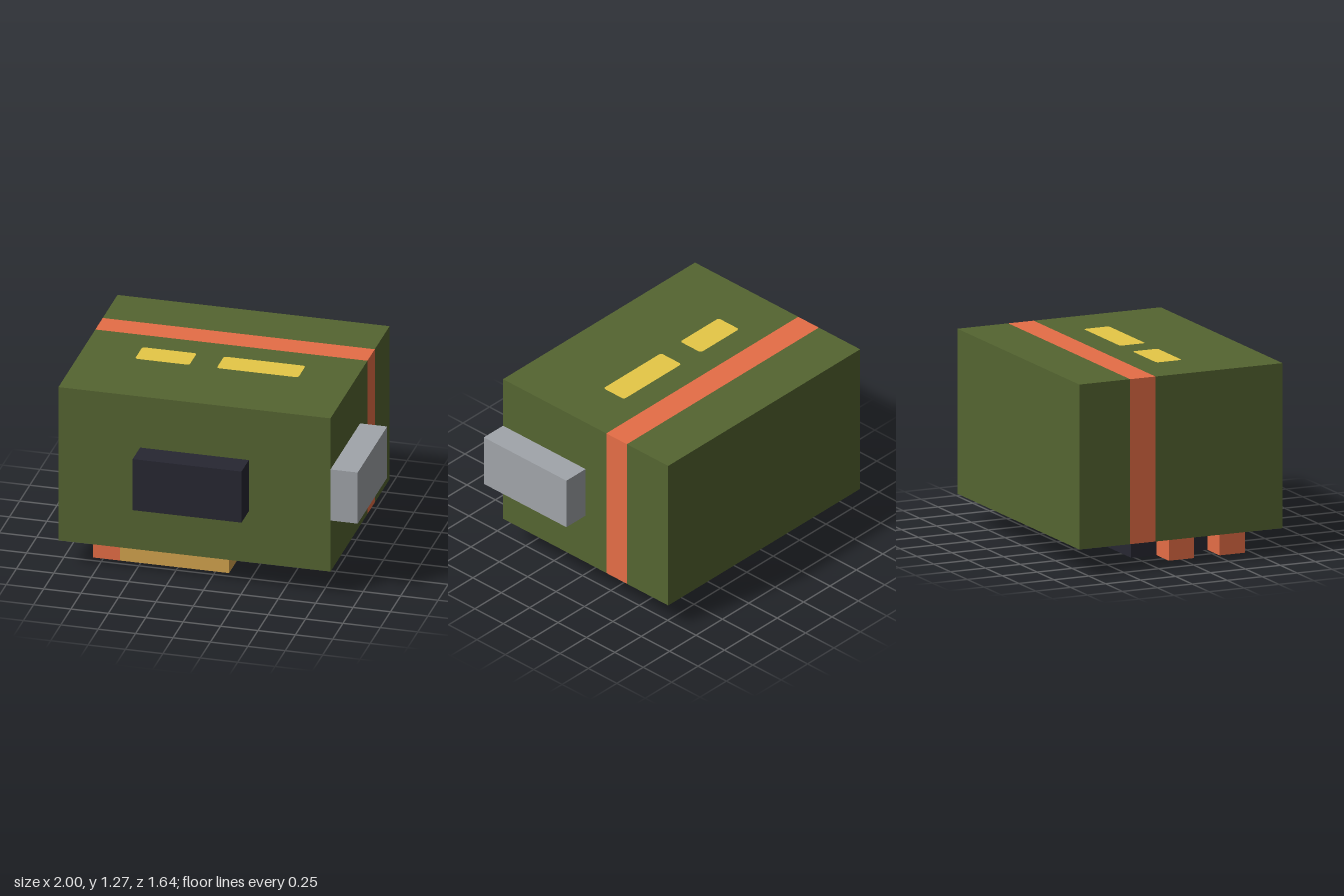
import * as THREE from 'three';

const U = 2 / 11; // modelling grid unit

const material = (name, color) => {
  const m = new THREE.MeshStandardMaterial({ color });
  m.name = name;
  return m;
};

export function createModel() {
  const olive = material('olive green', 0x556531);
  const orange = material('burnt orange', 0xe66e46);
  const tan = material('tan', 0xd3a34e);
  const dark = material('dark slate', 0x272732);
  const grey = material('grey', 0xa1a5aa);
  const yellow = material('mustard yellow', 0xe6c846);

  const group = new THREE.Group();
  group.name = 'bandedCrate';

  const add = (name, geometry, mat) => {
    const mesh = new THREE.Mesh(geometry, mat);
    mesh.name = name;
    group.add(mesh);
    return mesh;
  };

  // Box given by its limits in grid units
  const block = (name, mat, [x0, x1], [y0, y1], [z0, z1]) => {
    const mesh = add(name, new THREE.BoxGeometry((x1 - x0) * U, (y1 - y0) * U, (z1 - z0) * U), mat);
    mesh.position.set((x0 + x1) * U / 2, (y0 + y1) * U / 2, (z0 + z1) * U / 2);
  };

  // Main body, with a band running all the way round
  const bodyX = [-5.5, 4.5], bodyY = [1, 7];
  block('bodyBack', olive, bodyX, bodyY, [-4.5, -2.5]);
  block('bodyBand', orange, bodyX, bodyY, [-2.5, -1.5]);
  block('bodyFront', olive, bodyX, bodyY, [-1.5, 3.5]);

  // Blocks on the front and left side
  block('frontBlock', dark, [-2.5, 1.5], [3, 5], [3.5, 4.5]);
  block('sideBlock', grey, [4.5, 5.5], [3, 5], [-0.5, 3.5]);

  // Alternating runners underneath; the tan ones have orange tips
  for (let i = 0; i < 4; i++) {
    const z = [1.5 - i, 2.5 - i];
    const isTan = i % 2 === 0;
    block(isTan ? 'tanRunner' : 'darkRunner', isTan ? tan : dark, [-3.5, 0.5], [0, 1], z);
    if (isTan) block('runnerTip', orange, [-4.5, -3.5], [0, 1], z);
  }

  // Flat inlays with slightly rounded corners on top
  for (const [x0, x1] of [[-3.5, -1.5], [-0.5, 2.5]]) {
    const w = (x1 - x0) * U / 2, d = U / 2, r = 0.02;
    const s = new THREE.Shape();
    s.absarc(w - r, d - r, r, 0, Math.PI / 2);
    s.absarc(r - w, d - r, r, Math.PI / 2, Math.PI);
    s.absarc(r - w, r - d, r, Math.PI, Math.PI * 1.5);
    s.absarc(w - r, r - d, r, Math.PI * 1.5, Math.PI * 2);
    const geometry = new THREE.ShapeGeometry(s, 6).rotateX(-Math.PI / 2);
    add('topInlay', geometry, yellow).position.set((x0 + x1) * U / 2, 7 * U + 0.001, 0);
  }

  return group;
}
